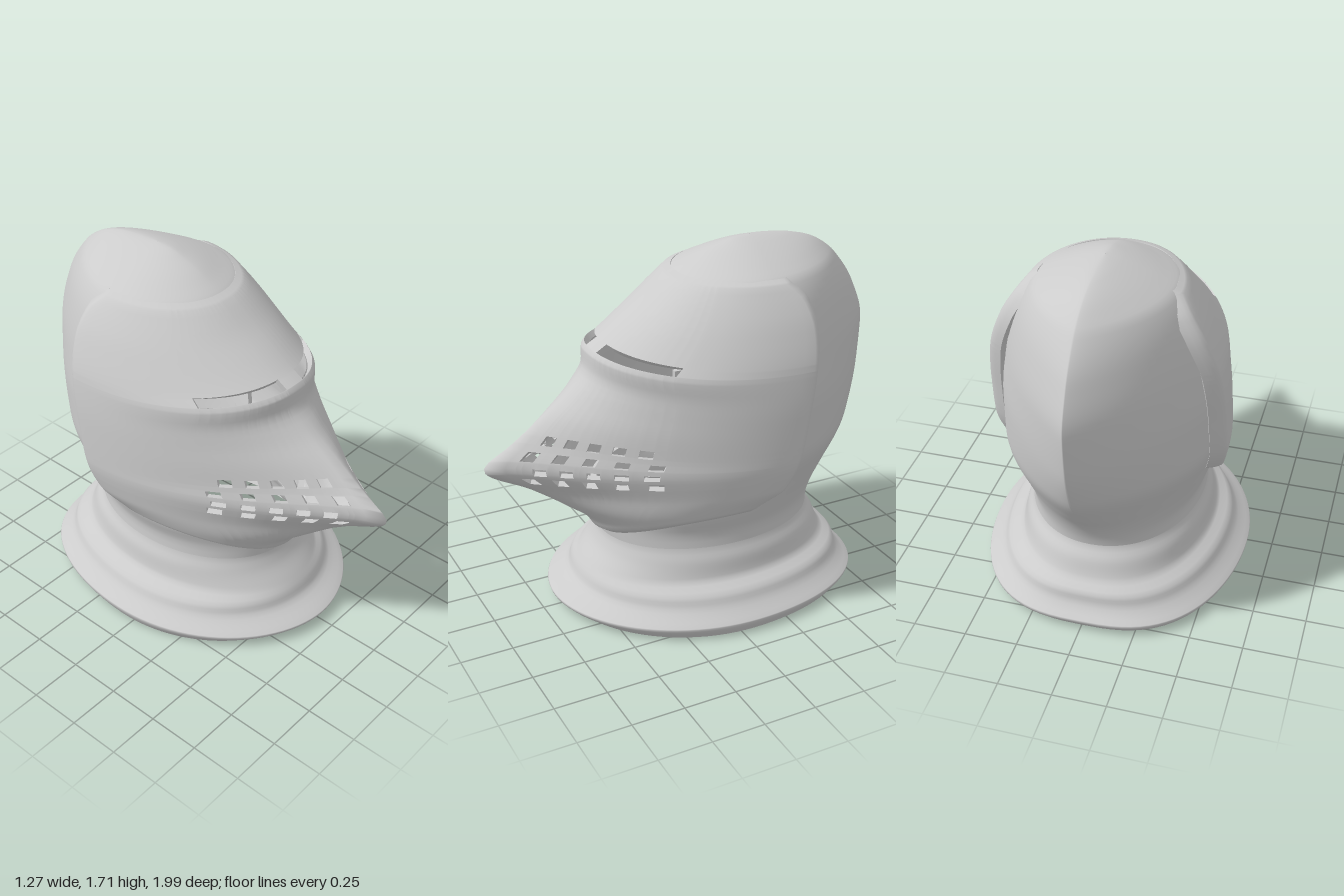
import * as THREE from 'three';

// Smooth interpolation without overshoot through rows of [key, ...values].
function profile(rows) {
  const slope = (i, c) => (rows[i + 1][c] - rows[i][c]) / (rows[i + 1][0] - rows[i][0]);
  const tangent = (i, c) => {
    if (i === 0) return slope(0, c);
    if (i === rows.length - 1) return slope(i - 1, c);
    const a = slope(i - 1, c), b = slope(i, c);
    return a * b <= 0 ? 0 : (2 * a * b) / (a + b);
  };
  return (key) => {
    let i = 0;
    while (i < rows.length - 2 && key > rows[i + 1][0]) i++;
    const h = rows[i + 1][0] - rows[i][0];
    const t = THREE.MathUtils.clamp((key - rows[i][0]) / h, 0, 1), s = 1 - t;
    return rows[i].slice(1).map((p, k) => {
      const c = k + 1;
      return p * s * s * (1 + 2 * t) + rows[i + 1][c] * t * t * (3 - 2 * t)
        + h * t * s * (s * tangent(i, c) - t * tangent(i + 1, c));
    });
  };
}

const range = (a, b, n) => Array.from({ length: n + 1 }, (_, i) => a + ((b - a) * i) / n);
const sorted = (list) => list.sort((a, b) => a - b).filter((v, i, l) => i === 0 || v - l[i - 1] > 1e-4);

// Plate of even thickness over a (u, v) grid, with walls around every opening.
function shell(point, us, vs, thickness, wrap, open) {
  const nu = us.length, nv = vs.length, cols = wrap ? nu : nu - 1;
  const at = (i, j) => j * nu + (i % nu);
  const pos = [], outer = [];
  for (const v of vs) for (const u of us) pos.push(...point(u, v));
  const mid = (list, i) => (i + 1 < list.length ? (list[i] + list[i + 1]) / 2 : list[i]);
  const keep = (i, j) => {
    if (j < 0 || j >= nv - 1) return false;
    if (wrap) i = (i + nu) % nu;
    else if (i < 0 || i >= cols) return false;
    return !open(mid(us, i), mid(vs, j));
  };
  // Normals of the full grid give the direction of the thickness
  for (let j = 0; j < nv - 1; j++) for (let i = 0; i < cols; i++) {
    const a = at(i, j), b = at(i + 1, j), c = at(i + 1, j + 1), d = at(i, j + 1);
    outer.push(a, c, b, a, d, c);
  }
  const geo = new THREE.BufferGeometry();
  geo.setAttribute('position', new THREE.Float32BufferAttribute(pos, 3));
  geo.setIndex(outer);
  geo.computeVertexNormals();
  const nor = geo.attributes.normal.array, n = nu * nv;
  const all = pos.concat(pos.map((p, k) => p - nor[k] * thickness));
  const index = [];
  const wall = (p, q) => {
    const base = all.length / 3;
    for (const k of [q, p, p + n, q + n]) all.push(all[3 * k], all[3 * k + 1], all[3 * k + 2]);
    index.push(base, base + 1, base + 2, base, base + 2, base + 3);
  };
  for (let j = 0; j < nv - 1; j++) for (let i = 0; i < cols; i++) {
    if (!keep(i, j)) continue;
    const a = at(i, j), b = at(i + 1, j), c = at(i + 1, j + 1), d = at(i, j + 1);
    index.push(a, c, b, a, d, c, a + n, b + n, c + n, a + n, c + n, d + n);
    if (!keep(i - 1, j)) wall(a, d);
    if (!keep(i, j + 1)) wall(d, c);
    if (!keep(i + 1, j)) wall(c, b);
    if (!keep(i, j - 1)) wall(b, a);
  }
  geo.setAttribute('position', new THREE.Float32BufferAttribute(all, 3));
  geo.deleteAttribute('normal');
  geo.setIndex(index);
  geo.computeVertexNormals();
  return geo;
}

// Skull and collar: height, half width, front z, widest z, back z, front and back roundness
const body = profile([
  [0, 0.61, 0.63, -0.07, -0.8, 1.9, 2.8], [0.055, 0.635, 0.69, -0.08, -0.84, 1.9, 2.8],
  [0.08, 0.605, 0.65, -0.08, -0.81, 1.9, 2.8], [0.12, 0.56, 0.58, -0.08, -0.78, 2, 2.7],
  [0.17, 0.53, 0.555, -0.08, -0.77, 2.1, 2.6], [0.205, 0.465, 0.53, -0.1, -0.72, 2.1, 2.4],
  [0.3, 0.44, 0.46, -0.1, -0.68, 2.1, 2.2], [0.36, 0.415, 0.44, -0.1, -0.645, 2.1, 2.1],
  [0.42, 0.41, 0.45, -0.1, -0.66, 2, 2], [0.5, 0.435, 0.45, -0.1, -0.7, 2, 1.8],
  [0.6, 0.46, 0.46, -0.15, -0.78, 2, 1.5], [0.8, 0.505, 0.5, -0.2, -0.92, 2, 1.25],
  [1, 0.505, 0.5, -0.2, -0.98, 2, 1.1], [1.2, 0.48, 0.38, -0.2, -0.995, 2, 1.05],
  [1.4, 0.42, 0.2, -0.25, -0.93, 2, 1.1], [1.57, 0.325, 0.045, -0.3, -0.81, 2, 1.25],
  [1.62, 0.24, -0.04, -0.32, -0.75, 1.8, 1.3], [1.66, 0.155, -0.12, -0.33, -0.68, 1.7, 1.4],
  [1.69, 0.08, -0.21, -0.34, -0.58, 1.7, 1.5], [1.705, 0.03, -0.27, -0.35, -0.46, 1.8, 1.8],
  [1.71, 0.002, -0.348, -0.35, -0.352, 2, 2],
]);

function bodyPoint(angle, y) {
  const [w, front, zw, back, roundF, roundB] = body(y);
  const c = Math.cos(angle), s = Math.sin(angle);
  const x = w * Math.sign(c) * Math.abs(c) ** (2 / (s > 0 ? roundF : roundB));
  return [x, y, zw + s * (s > 0 ? front - zw : zw - back)];
}

// Visor: front edge line (z, roundness), side edge (half width, z), and droop of its rows
const visorFront = profile([
  [0.4, 0.48, 2], [0.46, 0.52, 1.8], [0.55, 0.64, 1.4], [0.65, 0.78, 1], [0.8, 1, 0.75],
  [0.9, 0.86, 0.9], [1, 0.72, 1.15], [1.1, 0.58, 1.5], [1.2, 0.49, 1.9], [1.275, 0.48, 2.1],
  [1.33, 0.4, 2.1], [1.4, 0.3, 2.1], [1.47, 0.2, 2.1], [1.55, 0.1, 2.1], [1.58, 0.06, 2.1],
]);
const visorSide = profile([
  [0.4, 0.42, -0.05], [0.5, 0.445, -0.08], [0.56, 0.48, -0.14], [0.65, 0.53, -0.25],
  [0.8, 0.555, -0.31], [1, 0.55, -0.35], [1.2, 0.53, -0.39], [1.4, 0.46, -0.42],
  [1.5, 0.4, -0.405], [1.58, 0.335, -0.34],
]);
const droop = profile([[0.4, 0], [0.72, 0], [0.92, 0.08], [1.3, 0.08], [1.5, 0]]);

// u runs across the visor (-1..1); the last bit beyond 1 rolls in to the skull.
// Rows below 0.4 and above 1.57 close in on the neck and the crown.
function visorPoint(u, row) {
  const v = THREE.MathUtils.clamp(row, 0.4, 1.57);
  const shrink = 1 - 1.6 * Math.max(0, v - row) - 3.6 * Math.max(0, row - v);
  const q = Math.min(Math.abs(u), 1), e = Math.abs(u) - q;
  const lift = v + Math.max(0, (0.65 - v) / 0.25) * 0.15 * q ** 1.6;
  const y = lift - droop(v)[0] * q ** 1.5;
  const [front, round] = visorFront(lift), [w, zw] = visorSide(y);
  const x = (w * q - 7 * e * e) * shrink;
  const z = zw + (front - zw) * Math.sqrt(1 - q ** round) * shrink - 0.6 * e;
  return [-Math.sign(u) * x, y + 0.6 * (row - v), z];
}

// Openings of one half of the visor: [u0, u1, v0, v1]
const openings = [[0.11, 0.71, 1.292, 1.322]];
[[0.925, 0.09, 0.065], [0.858, 0.075, 0.077], [0.788, 0.115, 0.066], [0.73, 0.075, 0.078]]
  .forEach(([v, x, step]) => {
    for (let k = 0; k < 5; k++) {
      const u = (x + k * step) / 0.555;
      openings.push([u - 0.03, u + 0.03, v - 0.019, v + 0.019]);
    }
  });

export function createModel() {
  const helmet = new THREE.Group();
  helmet.name = 'helmet';
  const material = new THREE.MeshStandardMaterial({ color: 0xcccccc, side: THREE.DoubleSide });
  const add = (name, geometry) => {
    const mesh = new THREE.Mesh(geometry, material);
    mesh.name = name;
    helmet.add(mesh);
  };

  const around = range(0, Math.PI * 2, 96).slice(0, -1);
  add('collar', shell(bodyPoint, around, sorted([...range(0, 0.36, 24), 0.055]), 0.03, true, () => false));

  // Skull, open at the face behind the visor
  const skullHeights = [...range(0.36, 1.56, 40), ...range(1.58, 1.69, 8), 1.698, 1.705, 1.708, 1.71];
  add('skull', shell(bodyPoint, around, skullHeights, 0.03, true, (angle, y) =>
    y > 0.58 && y < 1.46 && bodyPoint(angle, y)[2] > visorSide(y)[1] + 0.1));

  // Visor with eye slits and breathing holes
  const half = range(0, Math.PI / 2, 24).map(Math.sin);
  half.push(1.025, 1.05, 1.075, 1.1, ...openings.flatMap((o) => [o[0], o[1]]));
  const us = sorted([...half, ...half.map((u) => -u)]);
  const vs = sorted([...range(0.35, 0.385, 3), ...range(0.4, 1.57, 46), 1.275, 1.58, 1.59, 1.6,
    ...openings.flatMap((o) => [o[2], o[3]])]);
  add('visor', shell(visorPoint, us, vs, 0.032, false, (u, v) =>
    openings.some(([a, b, c, d]) => Math.abs(u) > a && Math.abs(u) < b && v > c && v < d)));

  return helmet;
}
